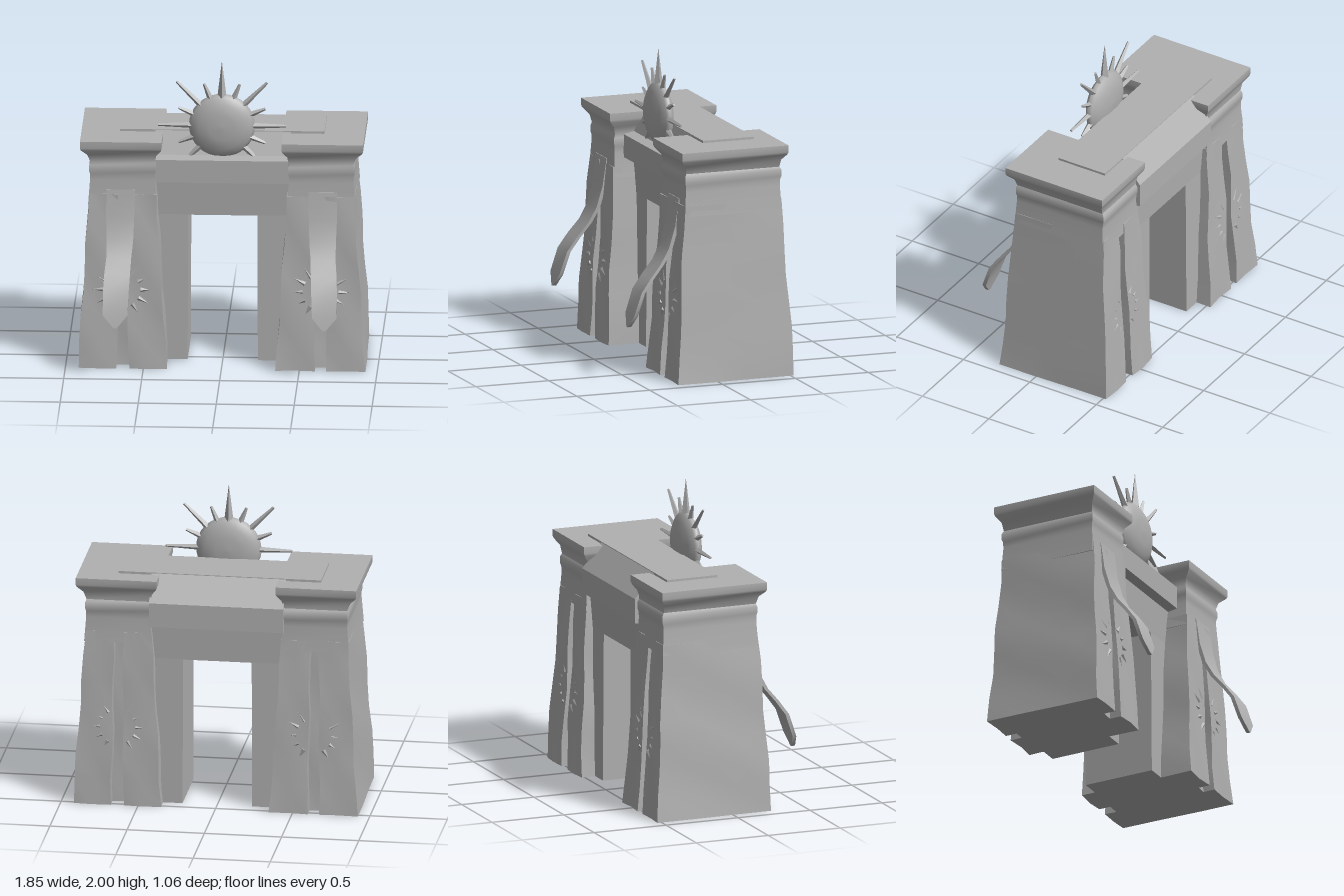
import * as THREE from 'three';
import { toCreasedNormals } from 'three/addons/utils/BufferGeometryUtils.js';

const stone = new THREE.MeshStandardMaterial({ color: 0xb0b0b0 });
stone.name = 'stone';

function add(parent, name, geometry, crease = 0.6) {
  const mesh = new THREE.Mesh(crease ? toCreasedNormals(geometry, crease) : geometry, stone);
  mesh.name = name;
  parent.add(mesh);
  return mesh;
}

// Moves every vertex of a geometry by a rule
function reshape(geometry, rule) {
  const p = geometry.attributes.position, v = new THREE.Vector3();
  for (let i = 0; i < p.count; i++) {
    rule(v.fromBufferAttribute(p, i));
    p.setXYZ(i, v.x, v.y, v.z);
  }
  geometry.computeVertexNormals();
  return geometry;
}

// Box whose rows follow a profile of [y, x0, x1, z0, z1]
function profiledBox(rows, side) {
  const n = rows.length - 1;
  return reshape(new THREE.BoxGeometry(1, 1, 1, 1, n, 1), (v) => {
    const [y, x0, x1, z0, z1] = rows[Math.round((v.y + 0.5) * n)];
    const outer = v.x * side > 0;
    v.set(side * (outer ? x1 : x0), y, v.z > 0 ? z1 : z0);
  });
}

// Battered pylon with a niche slot in the front and back, slightly uneven
function pylonBody(side) {
  const hx = 0.285, hz = 0.3975, g = 0.04, d = hz - 0.08;
  const half = [[hx, -0.15], [hx, 0.15], [hx, hz], [0.16, hz], [g, hz], [g, d],
    [-g, d], [-g, hz], [-0.16, hz], [-hx, hz]];
  const points = [...half, ...half.map(([x, z]) => [-x, -z])].map(([x, z]) => new THREE.Vector2(x, z));
  const geometry = new THREE.ExtrudeGeometry(new THREE.Shape(points), { depth: 1.15, steps: 7, bevelEnabled: false });
  geometry.rotateX(-Math.PI / 2);
  return reshape(geometry, (v) => {
    const t = v.y / 1.3;
    const wobble = 0.006 * Math.sin(19 * v.x + 11 * v.y + 5 * v.z + side);
    v.x = side * 0.635 + v.x * (1 - 0.28 * t) + wobble;
    v.z = -0.1275 + v.z * (1 - 0.19 * t) + 0.006 * Math.sin(23 * v.x + 9 * v.y);
  });
}

// Cloth hanging from the wall, swept forward at its pointed foot
function banner(side) {
  // y, inner x, outer x, z
  const rows = [[1.18, 0.555, 0.74, 0.2], [1.0, 0.56, 0.74, 0.225], [0.86, 0.565, 0.735, 0.265],
    [0.76, 0.575, 0.735, 0.32], [0.67, 0.58, 0.745, 0.395], [0.58, 0.585, 0.75, 0.46],
    [0.43, 0.592, 0.75, 0.51], [0.35, 0.66, 0.68, 0.53]];
  return profiledBox(rows.slice().reverse().map(([y, a, b, z]) => [y, a, b, z - 0.025, z]), side);
}

export function createModel() {
  const model = new THREE.Group();
  model.name = 'templeGate';

  for (const side of [-1, 1]) {
    const tower = new THREE.Group();
    tower.name = side > 0 ? 'leftTower' : 'rightTower';
    model.add(tower);
    add(tower, 'pylon', pylonBody(side));

    // Upper band, roll moulding, flared cornice and cap slab
    add(tower, 'cornice', profiledBox([
      [1.08, 0.415, 0.857, -0.462, 0.202], [1.24, 0.43, 0.845, -0.452, 0.192],
      [1.28, 0.43, 0.845, -0.455, 0.192], [1.3, 0.425, 0.85, -0.462, 0.197],
      [1.34, 0.425, 0.85, -0.462, 0.197], [1.36, 0.43, 0.843, -0.45, 0.19],
      [1.41, 0.42, 0.862, -0.455, 0.2], [1.45, 0.39, 0.902, -0.482, 0.235],
      [1.465, 0.385, 0.908, -0.488, 0.24], [1.51, 0.385, 0.908, -0.488, 0.24],
    ], side));

    // Door jamb set back from the tower face
    add(tower, 'jamb', profiledBox([
      [0, 0.225, 0.5, -0.425, 0.055], [1.0, 0.222, 0.5, -0.42, 0.05],
    ], side));

    add(tower, 'banner', banner(side), 0.9);

    // Low carved rays fanning out from the niche, front and back
    for (const face of [-1, 1]) {
      for (let i = 0; i < 10; i++) {
        const fan = (i % 5 - 2) * 0.5;
        const a = i < 5 ? fan : Math.PI - fan;
        const ray = add(tower, 'carvedRay', new THREE.ConeGeometry(0.016, 0.08, 4), 0.3);
        const y = 0.52 + Math.sin(a) * 0.15;
        ray.position.set(side * 0.635 + Math.cos(a) * 0.155, y, face > 0 ? 0.268 - 0.06 * y : -0.523 + 0.06 * y);
        ray.rotation.z = a - Math.PI / 2;
        ray.scale.z = 0.7;
      }
    }
  }

  // Lintel: cross-section in [z, y], with a projecting band and sloped roof
  const section = [[0.05, 0.97], [0.065, 1.2], [0.13, 1.21], [0.13, 1.36], [0.06, 1.375], [0, 1.52],
    [-0.35, 1.52], [-0.48, 1.36], [-0.48, 1.2], [-0.43, 1.19], [-0.42, 0.97]];
  const lintel = new THREE.ExtrudeGeometry(
    new THREE.Shape(section.map(([z, y]) => new THREE.Vector2(-z, y))), { depth: 0.87, bevelEnabled: false });
  lintel.rotateY(Math.PI / 2).translate(-0.435, 0, 0);
  add(model, 'lintel', lintel);

  // Flat roof slab reaching over both towers
  add(model, 'roofSlab', new THREE.BoxGeometry(1.31, 0.06, 0.35).translate(-0.005, 1.495, -0.175));

  // Sun disc with alternating long and short rays
  const sun = new THREE.Group();
  sun.name = 'sun';
  sun.position.set(-0.005, 1.575, 0.055);
  model.add(sun);
  const lens = [[0, -0.065], [0.08, -0.062], [0.15, -0.048], [0.195, -0.02], [0.212, 0],
    [0.195, 0.02], [0.15, 0.048], [0.08, 0.062], [0, 0.065]].map(([r, h]) => new THREE.Vector2(r, h));
  add(sun, 'sunDisc', new THREE.LatheGeometry(lens, 32).rotateX(Math.PI / 2), 0);
  for (let i = -2; i <= 10; i++) {
    const a = (i * Math.PI) / 8;
    const tip = i === 4 ? 0.425 : i % 2 ? 0.3 : 0.41;
    const blunt = i === 4 ? 0.001 : 0.009;
    const length = tip - 0.19;
    const ray = add(sun, 'sunRay', new THREE.CylinderGeometry(blunt, i === 4 ? 0.03 : 0.02, length, 4), 0.3);
    ray.position.set(Math.cos(a) * (0.19 + length / 2), Math.sin(a) * (0.19 + length / 2), 0);
    ray.rotation.z = a - Math.PI / 2;
  }
  return model;
}
